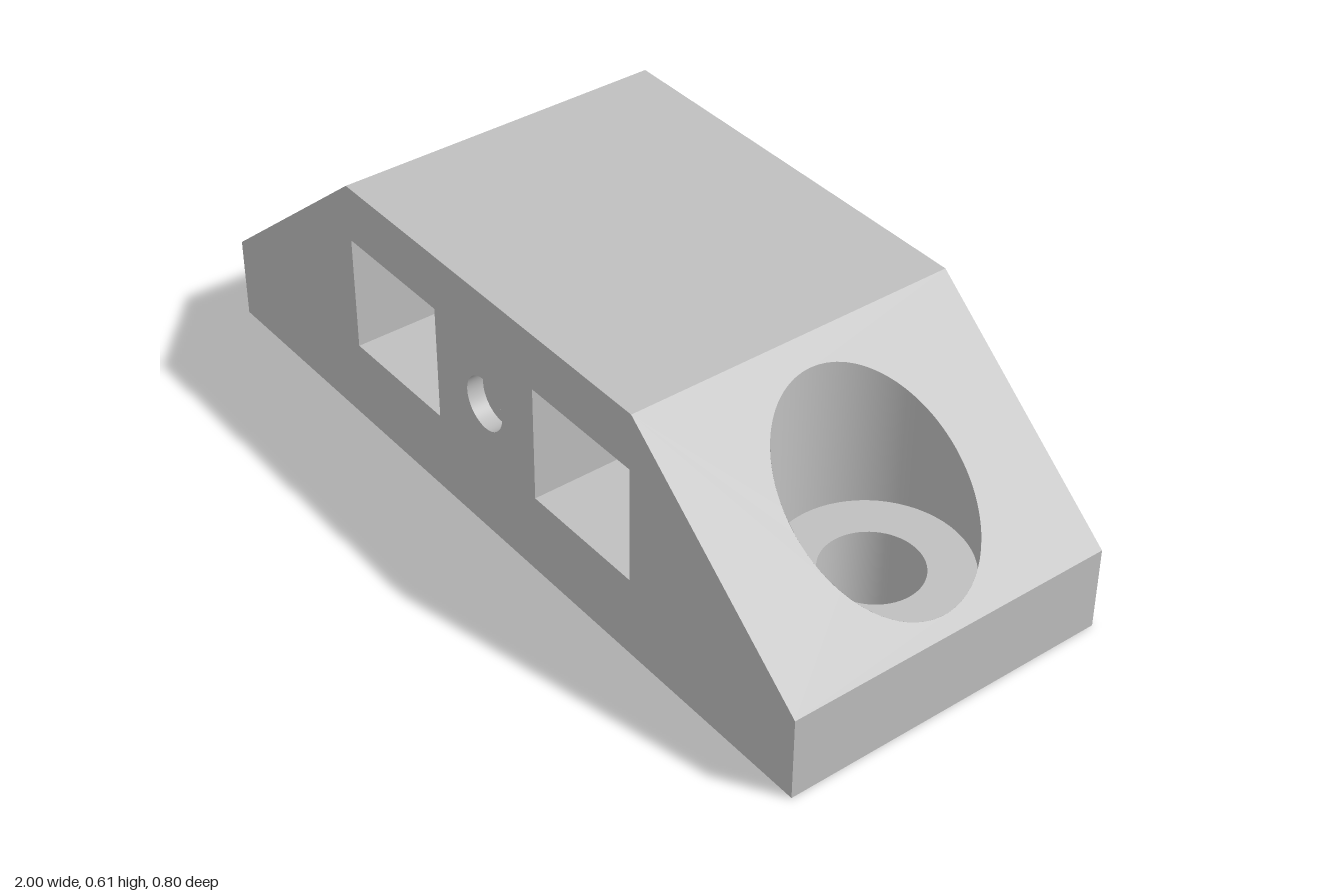
import * as THREE from 'three';

const H = 0.61, LIP = 0.2, HALF_Z = 0.4, FLAT = 0.5;   // block sizes
const HOLE_X = 0.76, BORE_R = 0.21, BOLT_R = 0.11;     // counterbored bolt holes
const WIN = { x0: 0.174, x1: 0.494, y0: 0.194, y1: 0.474 };
const DIMPLE = { y: 0.332, r: 0.063, depth: 0.04 };
const SEG = 64;

const slope = (x) => H - (x - FLAT) * (H - LIP) / (1 - FLAT);

export function createModel() {
  const model = new THREE.Group();
  model.name = 'mountingBlock';
  const grey = new THREE.MeshStandardMaterial({ color: 0xbfbfbf, side: THREE.DoubleSide });
  grey.name = 'plain grey';

  const add = (parent, name, geometry) => {
    const mesh = new THREE.Mesh(geometry, grey);
    mesh.name = name;
    parent.add(mesh);
    return mesh;
  };
  const polygon = (pts) => new THREE.Shape(pts.map(([x, y]) => new THREE.Vector2(x, y)));
  const rect = (x0, y0, x1, y1) => polygon([[x0, y0], [x1, y0], [x1, y1], [x0, y1]]);
  const disc = (x, y, r) => new THREE.Shape().absarc(x, y, r, 0, Math.PI * 2, false);

  // Horizontal sheet whose height follows a rule of x
  const sheet = (shape, height) => {
    const g = new THREE.ShapeGeometry(shape, SEG).rotateX(-Math.PI / 2);
    const p = g.attributes.position;
    for (let i = 0; i < p.count; i++) p.setY(i, height(p.getX(i)));
    g.computeVertexNormals();
    return g;
  };

  // Front and back faces, pierced by the two windows
  for (const front of [true, false]) {
    const s = polygon([[-1, 0], [1, 0], [1, LIP], [FLAT, H], [-FLAT, H], [-1, LIP]]);
    s.holes.push(rect(WIN.x0, WIN.y0, WIN.x1, WIN.y1), rect(-WIN.x1, WIN.y0, -WIN.x0, WIN.y1));
    if (front) s.holes.push(disc(0, DIMPLE.y, DIMPLE.r));
    const face = add(model, front ? 'frontFace' : 'backFace', new THREE.ShapeGeometry(s, SEG));
    face.position.z = front ? HALF_Z : -HALF_Z;
    if (!front) face.rotation.y = Math.PI;
  }

  // Shallow round recess in the front
  const wall = new THREE.CylinderGeometry(DIMPLE.r, DIMPLE.r, DIMPLE.depth, SEG, 1, true).rotateX(Math.PI / 2);
  add(model, 'recessWall', wall).position.set(0, DIMPLE.y, HALF_Z - DIMPLE.depth / 2);
  add(model, 'recessFloor', new THREE.CircleGeometry(DIMPLE.r, SEG))
    .position.set(0, DIMPLE.y, HALF_Z - DIMPLE.depth);

  // Top and underside
  add(model, 'topFace', sheet(rect(-FLAT, -HALF_Z, FLAT, HALF_Z), () => H));
  const base = rect(-1, -HALF_Z, 1, HALF_Z);
  base.holes.push(disc(HOLE_X, 0, BOLT_R), disc(-HOLE_X, 0, BOLT_R));
  add(model, 'underside', new THREE.ShapeGeometry(base, SEG).rotateX(Math.PI / 2));

  // Each end: slope, end wall, counterbored hole and window lining
  for (const side of ['left', 'right']) {
    const end = new THREE.Group();
    end.name = side + 'End';
    if (side === 'right') end.rotation.y = Math.PI;
    model.add(end);

    const ramp = rect(FLAT, -HALF_Z, 1, HALF_Z);
    ramp.holes.push(disc(HOLE_X, 0, BORE_R));
    add(end, 'slopedFace', sheet(ramp, slope));

    add(end, 'endWall', new THREE.PlaneGeometry(HALF_Z * 2, LIP).rotateY(Math.PI / 2))
      .position.set(1, LIP / 2, 0);

    // Bore wall, its upper rim trimmed to the slope
    const bore = new THREE.CylinderGeometry(BORE_R, BORE_R, 1, SEG, 1, true).translate(HOLE_X, 0, 0);
    const p = bore.attributes.position;
    for (let i = 0; i < p.count; i++) p.setY(i, p.getY(i) > 0 ? slope(p.getX(i)) : LIP);
    add(end, 'boreWall', bore);

    const seat = disc(HOLE_X, 0, BORE_R);
    seat.holes.push(disc(HOLE_X, 0, BOLT_R));
    add(end, 'boreSeat', sheet(seat, () => LIP));

    add(end, 'boltHole', new THREE.CylinderGeometry(BOLT_R, BOLT_R, LIP, SEG, 1, true))
      .position.set(HOLE_X, LIP / 2, 0);

    // Box with its two z faces left off
    const lining = new THREE.BoxGeometry(WIN.x1 - WIN.x0, WIN.y1 - WIN.y0, HALF_Z * 2);
    lining.setIndex(Array.from(lining.index.array.slice(0, 24)));
    lining.clearGroups();
    add(end, 'windowLining', lining)
      .position.set((WIN.x0 + WIN.x1) / 2, (WIN.y0 + WIN.y1) / 2, 0);
  }
  return model;
}
